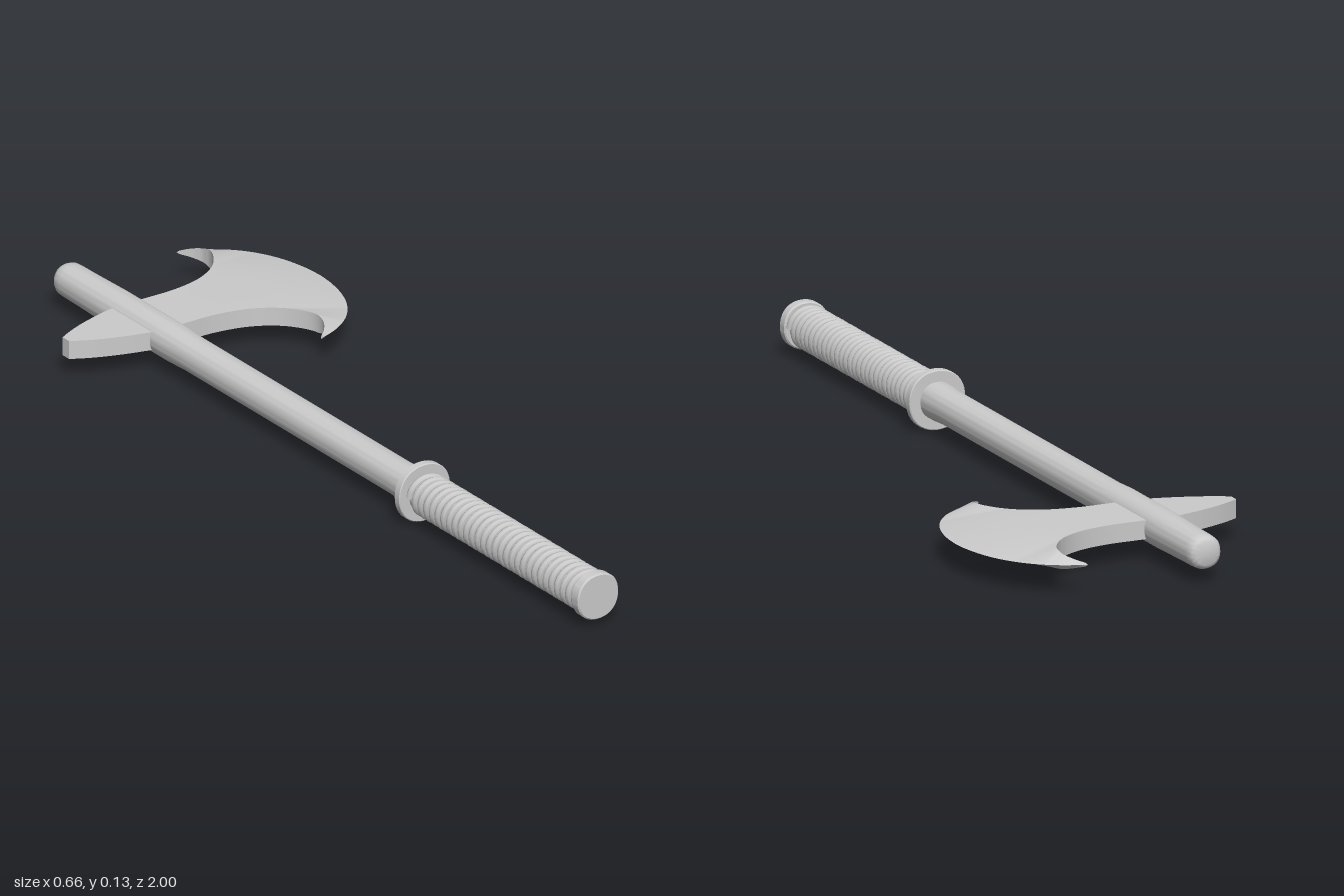
import * as THREE from 'three';
import { toCreasedNormals } from 'three/addons/utils/BufferGeometryUtils.js';

const CX = -0.124, CY = 0.069, HEAD_Z = -0.698, HALF = 0.021;
const material = new THREE.MeshStandardMaterial({ color: 0xcccccc, side: THREE.DoubleSide });

function addPart(group, name, geometry) {
  const mesh = new THREE.Mesh(geometry, material);
  mesh.name = name;
  group.add(mesh);
  return mesh;
}

// Slightly squared round part along z; profile is [radius, z] pairs
function turned(profile) {
  const g = new THREE.LatheGeometry(profile.map(p => new THREE.Vector2(p[0], p[1])), 40);
  g.rotateX(Math.PI / 2);
  const pos = g.attributes.position;
  for (let i = 0; i < pos.count; i++) {
    const a = Math.atan2(pos.getY(i), pos.getX(i));
    const k = 1 + 0.03 * Math.sin(2 * a) ** 2;
    pos.setXY(i, pos.getX(i) * k, pos.getY(i) * k);
  }
  g.translate(CX, CY, 0);
  return toCreasedNormals(g, 0.7);
}

const disc = (r, z0, z1, b = 0.002) =>
  turned([[0, z0], [r - b, z0], [r, z0 + b], [r, z1 - b], [r - b, z1], [0, z1]]);

// Spiral cord around the grip
function wrapCord(phase) {
  const pts = [], turns = 14.5, perTurn = 20;
  for (let i = 0; i <= turns * perTurn; i++) {
    const t = i / (turns * perTurn), a = phase - t * turns * Math.PI * 2;
    pts.push(new THREE.Vector3(CX + 0.0415 * Math.cos(a), CY + 0.0415 * Math.sin(a), 0.352 + t * 0.618));
  }
  return new THREE.TubeGeometry(new THREE.CatmullRomCurve3(pts), turns * 24, 0.0085, 8);
}

// Crescent blade lofted from strips running from the inner outline to the cutting edge
function bladeGeometry() {
  const v2 = a => a.map(p => new THREE.Vector2(p[0], p[1]));
  // [x, distance from the head's centre line], tip to middle
  const edge = new THREE.SplineCurve(v2([[0.143, 0.27], [0.195, 0.25], [0.247, 0.213],
    [0.285, 0.165], [0.31, 0.11], [0.324, 0.05], [0.328, 0]]));
  const inner = new THREE.SplineCurve(v2([[0.143, 0.27], [0.166, 0.25], [0.181, 0.222], [0.178, 0.188],
    [0.152, 0.145], [0.115, 0.113], [0.065, 0.09], [0, 0.078], [-0.06, 0.077], [CX, 0.077]]));
  const n = 40, half = [];
  for (let i = 0; i < n; i++) half.push([inner.getPoint(i / (n - 1)), edge.getPoint(i / n)]);
  const rows = [
    ...half.map(([I, O]) => [I.x, -I.y, O.x, -O.y]),
    [CX, 0, 0.328, 0],
    ...half.slice().reverse().map(([I, O]) => [I.x, I.y, O.x, O.y])
  ];
  const pos = [], idx = [];
  rows.forEach(([ix, iz, ox, oz], r) => {
    const width = Math.hypot(ox - ix, oz - iz);
    const k = width > 0 ? Math.min(1, 0.14 / width) : 0;   // where the bevel starts
    const h = HALF * Math.sqrt(Math.min(1, width / 0.055));
    const mx = ox + (ix - ox) * k, mz = oz + (iz - oz) * k;
    const ring = [[ix, h, iz], [mx, h, mz], [ox, 0, oz], [mx, -h, mz], [ix, -h, iz]];
    ring.forEach(p => pos.push(p[0], p[1] + CY, p[2] + HEAD_Z));
    if (r === 0) return;
    for (let j = 0; j < 5; j++) {
      const a = (r - 1) * 5 + j, b = (r - 1) * 5 + (j + 1) % 5;
      idx.push(a, a + 5, b, b, a + 5, b + 5);
    }
  });
  const g = new THREE.BufferGeometry();
  g.setAttribute('position', new THREE.Float32BufferAttribute(pos, 3));
  g.setIndex(idx);
  return toCreasedNormals(g, 0.6);
}

// Blunt spike behind the shaft, of even thickness
function spikeGeometry() {
  const s = new THREE.Shape();
  s.moveTo(CX, 0.078);
  s.lineTo(-0.164, 0.074);
  s.quadraticCurveTo(-0.27, 0.05, -0.332, 0.012);
  s.lineTo(-0.332, -0.012);
  s.quadraticCurveTo(-0.27, -0.05, -0.164, -0.074);
  s.lineTo(CX, -0.078);
  const g = new THREE.ExtrudeGeometry(s, { depth: HALF * 2, bevelEnabled: false, curveSegments: 12 });
  g.rotateX(-Math.PI / 2);
  g.translate(0, CY - HALF, HEAD_Z);
  return toCreasedNormals(g, 0.6);
}

export function createModel() {
  const axe = new THREE.Group();
  axe.name = 'battleAxe';

  // Shaft with rounded end, a slight swell at the head and a flare at the guard
  addPart(axe, 'shaft', turned([[0, -1], [0.026, -1], [0.033, -0.996], [0.037, -0.987], [0.038, -0.97],
    [0.0385, -0.92], [0.041, -0.8], [0.041, -0.58], [0.0385, -0.52], [0.0385, 0.26], [0.041, 0.3], [0.041, 0.335]]));

  // Handle
  addPart(axe, 'guardRing', disc(0.0665, 0.329, 0.349));
  addPart(axe, 'gripCore', turned([[0.041, 0.345], [0.041, 0.98]]));
  [0, Math.PI].forEach((phase, i) => addPart(axe, 'gripCord' + (i + 1), wrapCord(phase)));
  addPart(axe, 'pommel', disc(0.053, 0.974, 1, 0.003));

  // Head
  addPart(axe, 'blade', bladeGeometry());
  addPart(axe, 'backSpike', spikeGeometry());
  return axe;
}
